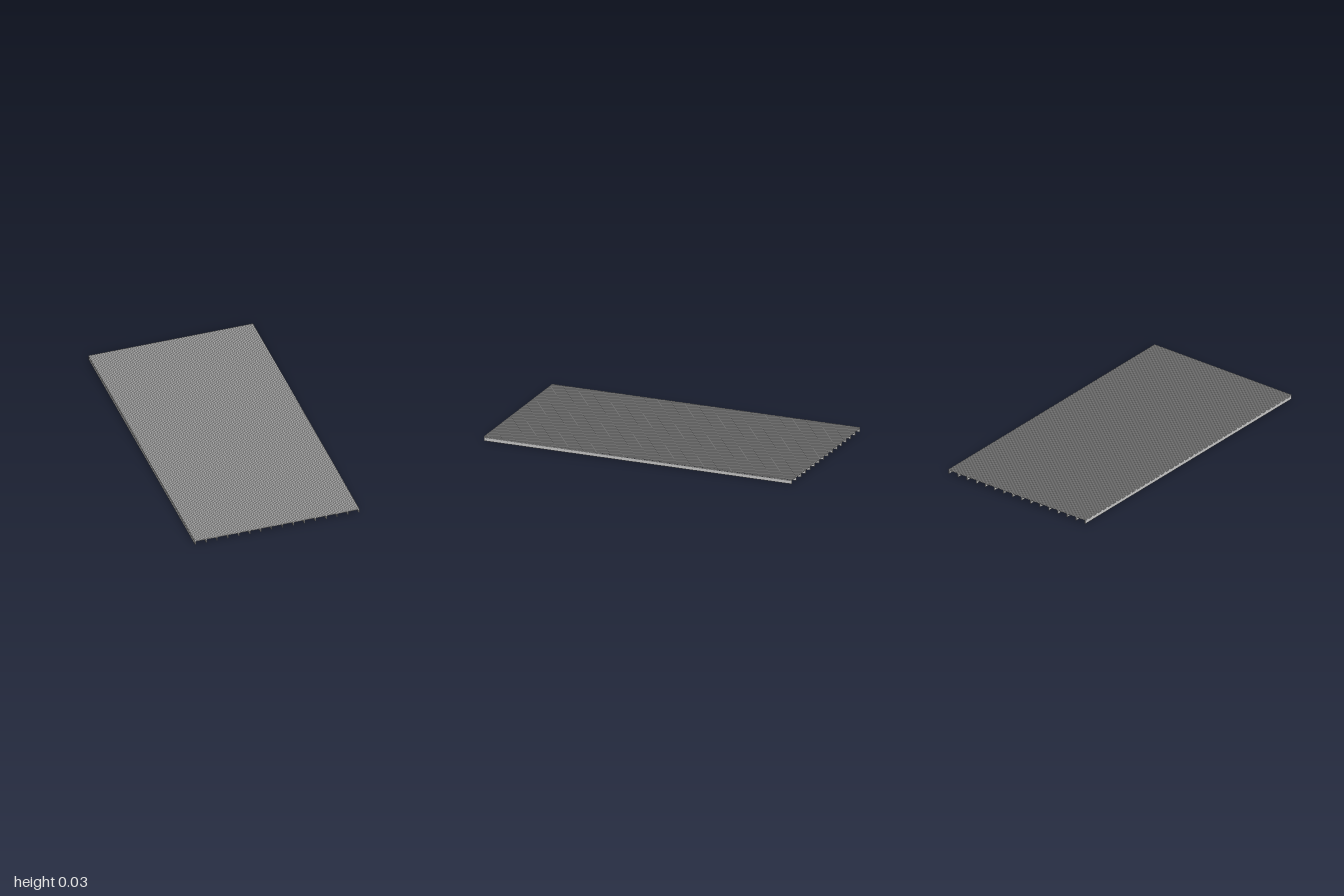
import * as THREE from 'three';
import { mergeGeometries } from 'three/addons/utils/BufferGeometryUtils.js';

const WIDTH = 1.036, LENGTH = 2, HEIGHT = 0.029;
const WIRE_HEIGHT = 0.008, WIRE_TOP = 0.0027, WIRE_FOOT = 0.0016, WIRE_COUNT = 370;
const BAR_COUNT = 16, BAR_WIDTH = 0.006;

export function createModel() {
  const model = new THREE.Group();
  model.name = 'wireGrating';
  const material = new THREE.MeshStandardMaterial({ color: 0xcccccc, flatShading: true });

  // One crosswise wire, slightly narrower at its foot
  const profile = new THREE.Shape([
    new THREE.Vector2(-WIRE_FOOT / 2, HEIGHT - WIRE_HEIGHT),
    new THREE.Vector2(WIRE_FOOT / 2, HEIGHT - WIRE_HEIGHT),
    new THREE.Vector2(WIRE_TOP / 2, HEIGHT),
    new THREE.Vector2(-WIRE_TOP / 2, HEIGHT),
  ]);
  const wire = new THREE.ExtrudeGeometry(profile, { depth: WIDTH, bevelEnabled: false });
  wire.translate(0, 0, -WIDTH / 2).rotateY(Math.PI / 2);

  // Closely spaced wires forming the deck
  const wires = [];
  const pitch = (LENGTH - WIRE_TOP) / (WIRE_COUNT - 1);
  for (let i = 0; i < WIRE_COUNT; i++) {
    wires.push(wire.clone().translate(0, 0, (i - (WIRE_COUNT - 1) / 2) * pitch));
  }
  const deck = new THREE.Mesh(mergeGeometries(wires), material);
  deck.name = 'deckWires';
  model.add(deck);

  // Lengthwise support bars beneath the deck
  const barHeight = HEIGHT - WIRE_HEIGHT;
  const barGeometry = new THREE.BoxGeometry(BAR_WIDTH, barHeight, LENGTH);
  const spacing = (WIDTH - BAR_WIDTH) / (BAR_COUNT - 1);
  for (let i = 0; i < BAR_COUNT; i++) {
    const bar = new THREE.Mesh(barGeometry, material);
    bar.name = 'supportBar';
    bar.position.set((i - (BAR_COUNT - 1) / 2) * spacing, barHeight / 2, 0);
    model.add(bar);
  }
  return model;
}
